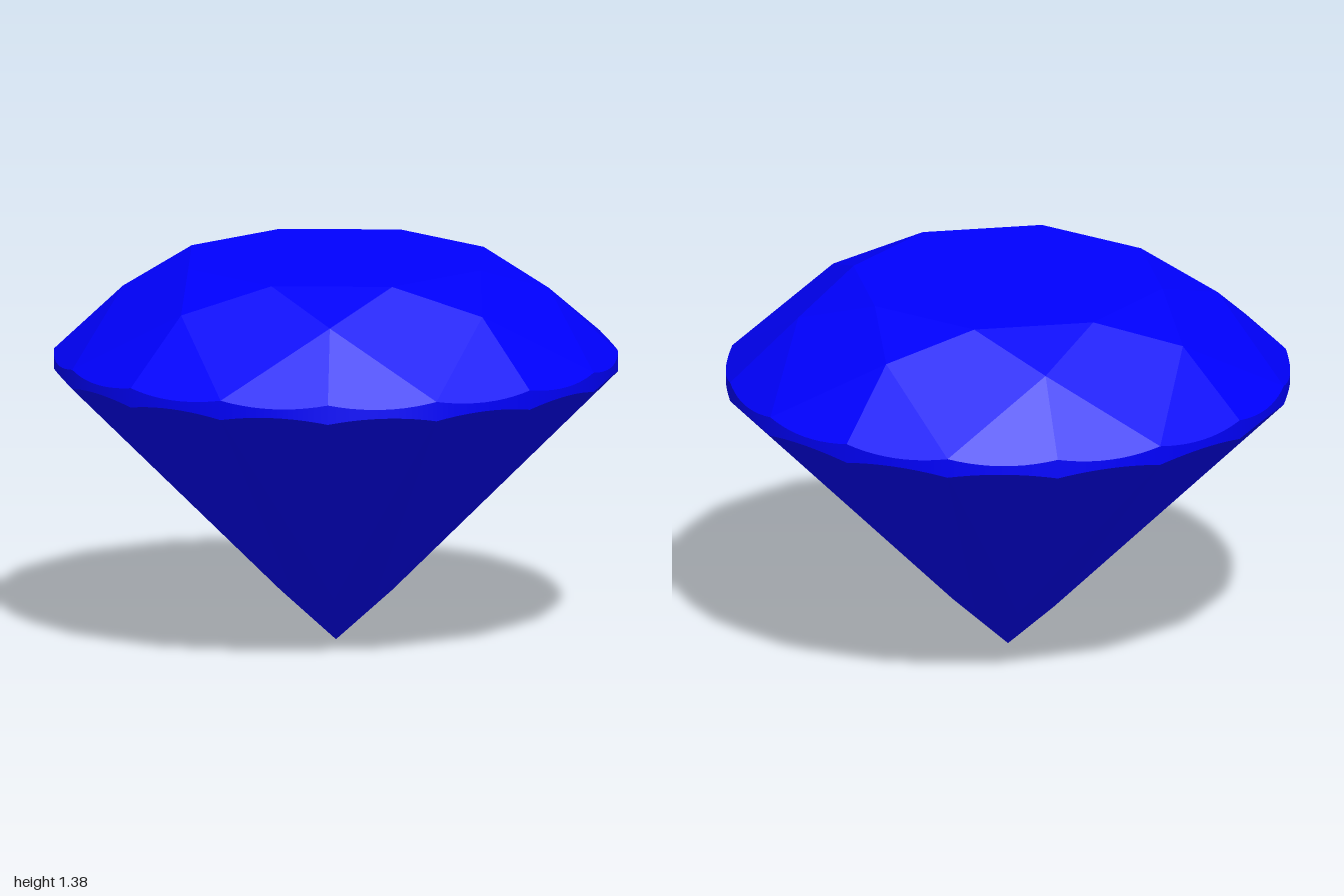
import * as THREE from 'three';

const TABLE_R = 0.56, TABLE_Y = 1.378;  // flat top octagon
const STAR_R = 0.755;                   // where the crown facets meet
const GIRDLE_TOP = 1.045, GIRDLE_BOTTOM = 0.975;
const LOWER_R = 0.2;                    // where the pavilion facets meet
const STEP = Math.PI / 8, ARC = 10;     // 16 divisions, arc segments in each

const at = (r, y, k) => new THREE.Vector3(r * Math.sin(k * STEP), y, r * Math.cos(k * STEP));

// Meeting points lie in the plane of the neighbouring kite facets
const mid = Math.cos(STEP);
const STAR_Y = TABLE_Y + (GIRDLE_TOP - TABLE_Y) * (STAR_R * mid - TABLE_R) / (1 - TABLE_R);
const LOWER_Y = GIRDLE_BOTTOM * LOWER_R * mid;

// Scalloped girdle edge: a half facet's plane cut by the unit cylinder
function scallop(edgeY, innerR, innerY, k) {
  const half = Math.cos(STEP / 2), inner = innerR * half;
  const t = k - Math.floor(k) - 0.5;
  const slope = (edgeY - innerY) / (half - inner);
  return at(1, edgeY + slope * (Math.cos(t * STEP) - half), k);
}
const topEdge = (k) => scallop(GIRDLE_TOP, STAR_R, STAR_Y, k);
const bottomEdge = (k) => scallop(GIRDLE_BOTTOM, LOWER_R, LOWER_Y, k);
const arc = (edge, k) => Array.from({ length: ARC + 1 }, (_, i) => edge(k + i / ARC));

// Flat polygons, each fanned from its first corner
function facets(name, polygons, material) {
  const points = [];
  for (const p of polygons)
    for (let i = 1; i < p.length - 1; i++) points.push(p[0], p[i], p[i + 1]);
  const geometry = new THREE.BufferGeometry().setFromPoints(points);
  geometry.computeVertexNormals();
  const mesh = new THREE.Mesh(geometry, material);
  mesh.name = name;
  return mesh;
}

export function createModel() {
  const group = new THREE.Group();
  group.name = 'cutGem';
  const flat = new THREE.MeshStandardMaterial({ color: 0x0000ff, flatShading: true });
  const smooth = new THREE.MeshStandardMaterial({ color: 0x0000ff });

  const table = [], stars = [], bezels = [], upperHalves = [], mains = [], lowerHalves = [];
  const apex = at(0, 0, 0);
  for (let k = 0; k < 16; k += 2) {
    const corner = at(TABLE_R, TABLE_Y, k);
    const star = at(STAR_R, STAR_Y, k + 1), lower = at(LOWER_R, LOWER_Y, k + 1);
    table.push(corner);
    stars.push([corner, star, at(TABLE_R, TABLE_Y, k + 2)]);
    bezels.push([corner, at(STAR_R, STAR_Y, k - 1), topEdge(k), star]);
    mains.push([apex, lower, bottomEdge(k), at(LOWER_R, LOWER_Y, k - 1)]);
    for (const j of [k, k + 1]) {
      upperHalves.push([star, ...arc(topEdge, j)]);
      lowerHalves.push([lower, ...arc(bottomEdge, j).reverse()]);
    }
  }
  group.add(
    facets('table', [table], flat),
    facets('starFacets', stars, flat),
    facets('bezelFacets', bezels, flat),
    facets('upperGirdleFacets', upperHalves, flat),
    facets('pavilionFacets', mains, flat),
    facets('lowerGirdleFacets', lowerHalves, flat),
  );

  // Smooth round girdle band between the two scalloped edges
  const n = 16 * ARC, ring = [], normals = [], index = [];
  for (let i = 0; i <= n; i++) {
    const k = i / ARC, out = at(1, 0, k).toArray();
    ring.push(bottomEdge(k), topEdge(k));
    normals.push(...out, ...out);
    const a = 2 * i;
    if (i < n) index.push(a, a + 2, a + 1, a + 1, a + 2, a + 3);
  }
  const band = new THREE.BufferGeometry().setFromPoints(ring);
  band.setAttribute('normal', new THREE.Float32BufferAttribute(normals, 3));
  band.setIndex(index);
  const girdle = new THREE.Mesh(band, smooth);
  girdle.name = 'girdle';
  group.add(girdle);
  return group;
}
